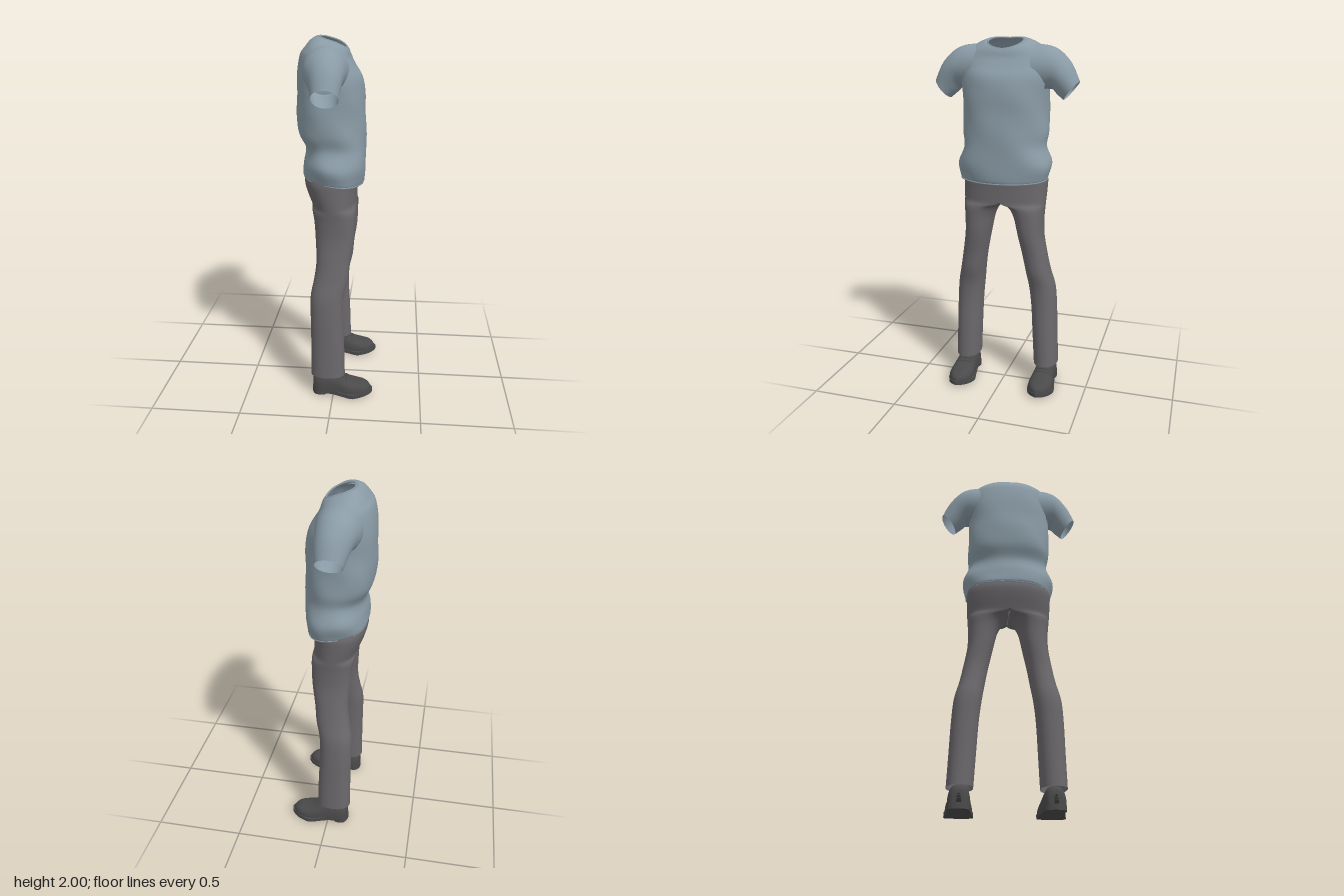
import * as THREE from 'three';

const material = (name, color) => {
  const m = new THREE.MeshStandardMaterial({ color, side: THREE.DoubleSide });
  m.name = name;
  return m;
};

// Smooth (Catmull-Rom) lookup in a table of rows, t from 0 to 1
function sample(rows, t) {
  const f = t * (rows.length - 1);
  const i = Math.min(Math.floor(f), rows.length - 2);
  const u = f - i;
  const row = (k) => rows[Math.max(0, Math.min(rows.length - 1, k))];
  return rows[0].map((_, c) => {
    const [a, b, d, e] = [row(i - 1)[c], row(i)[c], row(i + 1)[c], row(i + 2)[c]];
    return b + 0.5 * u * (d - a + u * (2 * a - 5 * b + 4 * d - e + u * (3 * (b - d) + e - a)));
  });
}

// Closed rings joined into a smooth skin; skip(centre) leaves holes
function loft(steps, sides, point, skip = () => false) {
  const pos = [], idx = [];
  for (let i = 0; i <= steps; i++)
    for (let j = 0; j < sides; j++) pos.push(...point(i / steps, (j / sides) * Math.PI * 2));
  const at = (k) => new THREE.Vector3().fromArray(pos, k * 3);
  for (let i = 0; i < steps; i++)
    for (let j = 0; j < sides; j++) {
      const a = i * sides + j, b = i * sides + ((j + 1) % sides), c = a + sides, d = b + sides;
      const mid = at(a).add(at(b)).add(at(c)).add(at(d)).multiplyScalar(0.25);
      if (!skip(mid)) idx.push(a, c, b, b, c, d);
    }
  const g = new THREE.BufferGeometry();
  g.setAttribute('position', new THREE.Float32BufferAttribute(pos, 3));
  g.setIndex(idx);
  g.computeVertexNormals();
  return g;
}

const power = (v, p) => Math.sign(v) * Math.abs(v) ** p;

// Shirt body: y, back x, front x, half width, front-to-back drop, side lift
const TORSO = [
  [1.245, -0.172, 0.148, 0.242, -0.04, 0], [1.262, -0.18, 0.155, 0.25, -0.03, 0],
  [1.33, -0.175, 0.16, 0.265, -0.02, 0], [1.42, -0.168, 0.16, 0.23, 0, 0],
  [1.5, -0.205, 0.157, 0.24, 0, 0], [1.6, -0.217, 0.152, 0.24, 0, 0],
  [1.7, -0.214, 0.15, 0.24, 0, 0], [1.8, -0.21, 0.135, 0.245, -0.02, 0],
  [1.88, -0.192, 0.1, 0.24, -0.06, 0], [1.92, -0.165, 0.077, 0.222, -0.06, 0.005],
  [1.95, -0.14, 0.067, 0.178, -0.06, 0.01], [1.968, -0.112, 0.058, 0.122, -0.06, 0.013],
  [1.966, -0.094, 0.052, 0.098, -0.055, 0.013],
];
function torsoPoint(t, a) {
  const [y, back, front, half, drop, lift] = sample(TORSO, t);
  const c = Math.cos(a), s = Math.sin(a);
  const fold = 1 + (1 - t) * (0.02 * Math.sin(3 * a + y * 9) + 0.014 * Math.sin(5 * a - y * 24));
  return [
    (back + front) / 2 + ((front - back) / 2) * power(c, 0.9) * fold,
    y + (drop / 2) * c + lift * Math.abs(s),
    half * power(s, 0.85) * fold,
  ];
}
const armhole = (p) => Math.abs(p.z) > 0.19 && p.y > 1.74 && p.y < 1.91 && Math.abs(p.x + 0.04) < 0.075;

// Sleeve: upper edge z, y, lower edge z, y, centre x, half depth
const SLEEVE = [
  [0.14, 1.965, 0.19, 1.715, -0.045, 0.122], [0.235, 1.957, 0.228, 1.725, -0.045, 0.112],
  [0.3, 1.927, 0.258, 1.728, -0.042, 0.1], [0.362, 1.862, 0.285, 1.703, -0.034, 0.084],
  [0.405, 1.772, 0.322, 1.672, -0.03, 0.07],
];
function sleevePoint(t, a, side) {
  const [z1, y1, z0, y0, x, rx] = sample(SLEEVE, t);
  const k = (1 + Math.cos(a)) / 2;
  const fold = 1 + 0.03 * t * Math.sin(2 * a + t * 8 + side);
  return [x + rx * Math.sin(a) * fold, y0 + (y1 - y0) * k, side * (z0 + (z1 - z0) * k)];
}

// Trouser half: y, back x, front x, inner z, outer z, hip blend
const LEG = [
  [0.125, -0.13, 0.065, 0.172, 0.312, 0], [0.3, -0.128, 0.06, 0.163, 0.306, 0],
  [0.48, -0.13, 0.052, 0.153, 0.3, 0], [0.6, -0.13, 0.056, 0.14, 0.29, 0],
  [0.7, -0.112, 0.077, 0.125, 0.266, 0], [0.8, -0.1, 0.087, 0.108, 0.247, 0],
  [0.92, -0.105, 0.105, 0.083, 0.228, 0], [1.02, -0.112, 0.11, 0.06, 0.228, 0],
  [1.08, -0.125, 0.112, 0.03, 0.233, 0.15], [1.115, -0.138, 0.112, 0, 0.236, 1],
  [1.19, -0.166, 0.112, 0, 0.24, 1], [1.24, -0.176, 0.114, 0, 0.24, 1],
  [1.285, -0.165, 0.116, 0, 0.228, 1],
];
function legPoint(t, a, side) {
  const [y, back, front, zin, zout, blend] = sample(LEG, t);
  const c = Math.cos(a), s = Math.sin(a);
  const b = THREE.MathUtils.clamp(blend, 0, 1);
  const round = (zin + zout) / 2 + ((zout - zin) / 2) * power(c, 0.9);
  const hip = c > 0 ? zout * power(c, 0.85) : 0;
  const z = Math.max(0, round + (hip - round) * b);
  const x = (back + front) / 2 + ((front - back) / 2) * power(s, 0.9);
  return [x, y, side * z - 0.009 * Math.max(0, 1 - y / 1.1)];
}

// Shoe upper: x, half width, top y
const UPPER = [
  [-0.118, 0.012, 0.085], [-0.11, 0.04, 0.115], [-0.075, 0.057, 0.135], [-0.02, 0.06, 0.138],
  [0.03, 0.062, 0.125], [0.08, 0.07, 0.098], [0.13, 0.07, 0.084], [0.175, 0.056, 0.077],
  [0.203, 0.032, 0.062], [0.215, 0.004, 0.045],
];
function upperPoint(t, a) {
  const [x, w, h] = sample(UPPER, t);
  const s = Math.sin(a);
  return [x, 0.03 + (s > 0 ? (h - 0.03) * power(s, 0.8) : 0), w * power(Math.cos(a), 0.7)];
}

// Flat plate cut from a smooth outline in x and z
function plate(half, y, height, bend) {
  const outline = [...half, ...half.slice(1, -1).reverse().map(([x, z]) => [x, -z])];
  const curve = new THREE.CatmullRomCurve3(outline.map(([x, z]) => new THREE.Vector3(x, z, 0)), true);
  const shape = new THREE.Shape(curve.getPoints(48).map((p) => new THREE.Vector2(p.x, p.y)));
  const g = new THREE.ExtrudeGeometry(shape, { depth: height, bevelEnabled: false });
  g.rotateX(-Math.PI / 2);
  const p = g.attributes.position;
  for (let i = 0; i < p.count; i++) p.setY(i, p.getY(i) + y + bend(p.getX(i)));
  g.computeVertexNormals();
  return g;
}

export function createModel() {
  const model = new THREE.Group();
  const shirtBlue = material('shirt blue grey', 0x8a9ba6);
  const trouserGrey = material('trouser grey', 0x6b686b);
  const shoeGrey = material('shoe dark grey', 0x4a4a4b);
  const add = (parent, name, geometry, mat) => {
    const mesh = new THREE.Mesh(geometry, mat);
    mesh.name = name;
    parent.add(mesh);
    return mesh;
  };

  add(model, 'shirtBody', loft(72, 72, torsoPoint, armhole), shirtBlue);

  // Soft rolled edges at the collar and hem
  for (const [name, t, r] of [['collar', 1, 0.005], ['shirtHem', 0, 0.005]]) {
    const pts = Array.from({ length: 40 }, (_, j) =>
      new THREE.Vector3(...torsoPoint(t, (j / 40) * Math.PI * 2)));
    add(model, name, new THREE.TubeGeometry(new THREE.CatmullRomCurve3(pts, true), 80, r, 6, true), shirtBlue);
  }

  for (const [label, side] of [['left', 1], ['right', -1]]) {
    add(model, label + 'Sleeve', loft(24, 40, (t, a) => sleevePoint(t, a, side)), shirtBlue);
    add(model, label + 'TrouserLeg',
      loft(60, 48, (t, a) => legPoint(t, a, side), (p) => p.y > 1.11 && Math.abs(p.z) < 0.002), trouserGrey);

    const shoe = new THREE.Group();
    shoe.name = label + 'Shoe';
    shoe.position.z = side === 1 ? 0.234 : -0.252;
    add(shoe, 'upper', loft(36, 32, upperPoint), shoeGrey);
    // Sole with a raised arch and toe
    const sole = [[-0.122, 0], [-0.1, 0.05], [-0.02, 0.056], [0.05, 0.068], [0.11, 0.077],
      [0.175, 0.06], [0.212, 0.03], [0.225, 0]];
    add(shoe, 'sole', plate(sole, 0, 0.022, (x) => 0.016 * Math.min(1, Math.abs(x - 0.11) / 0.11)), shoeGrey);
    const heel = [[-0.122, 0], [-0.1, 0.05], [-0.05, 0.055], [-0.035, 0.035], [-0.032, 0]];
    add(shoe, 'heel', plate(heel, 0.008, 0.022, () => 0), shoeGrey);
    // Laces across the instep
    for (const t of [0.46, 0.5, 0.54]) {
      const pts = [0.28, 0.39, 0.5, 0.61, 0.72].map((k) => new THREE.Vector3(...upperPoint(t, k * Math.PI)));
      add(shoe, 'lace', new THREE.TubeGeometry(new THREE.CatmullRomCurve3(pts), 12, 0.004, 6), shoeGrey);
    }
    model.add(shoe);
  }
  return model;
}
